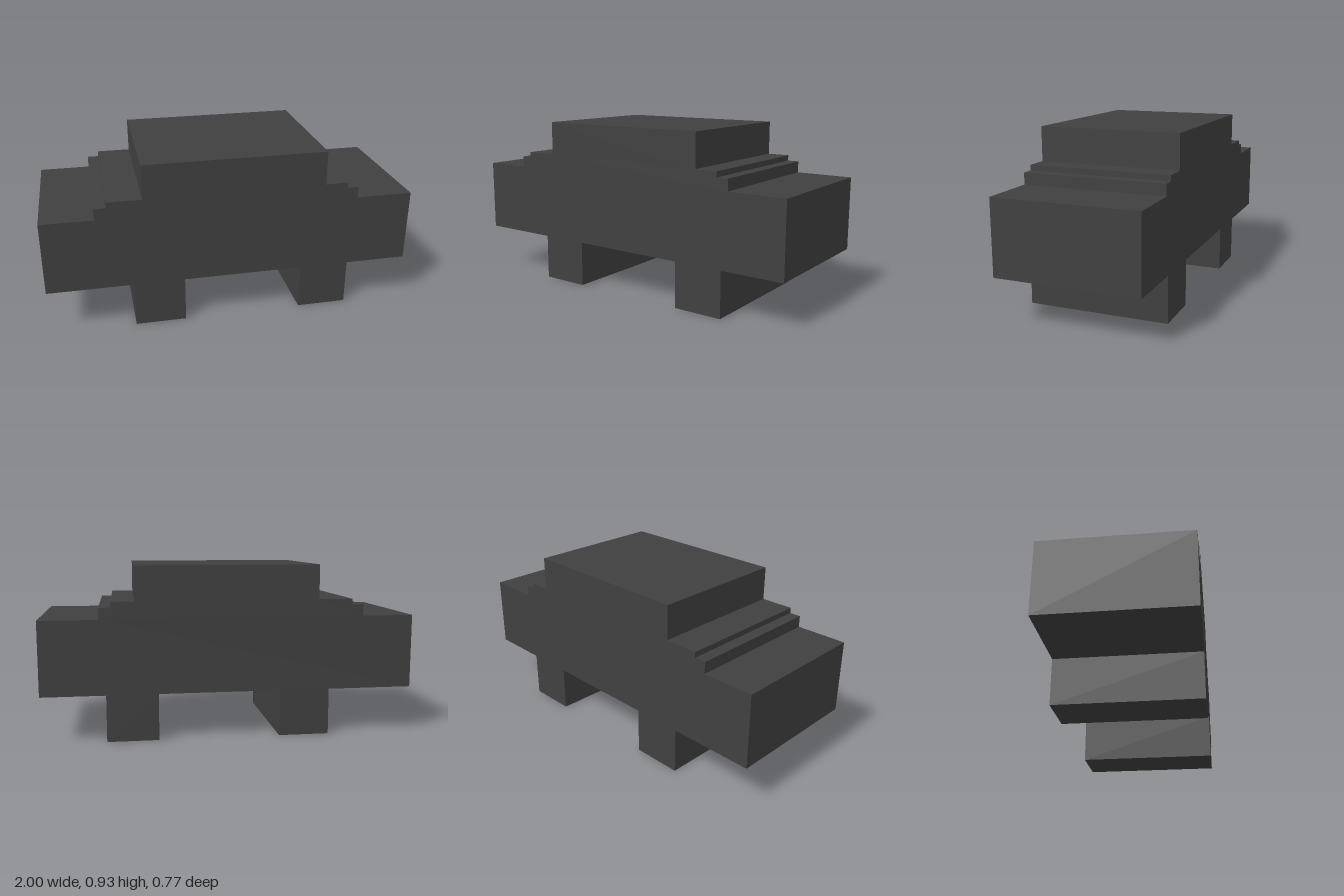
import * as THREE from 'three';

const DEPTH = 0.768;

export function createModel() {
  const model = new THREE.Group();
  model.name = 'blockCar';
  const charcoal = new THREE.MeshStandardMaterial({ color: 0x404040 });
  charcoal.name = 'charcoal';

  // Body: stepped side profile with bonnet, cabin and boot, extruded across the width
  const profile = [
    [-1, 0.25], [1, 0.25], [1, 0.648], [0.69, 0.648], [0.69, 0.71],
    [0.627, 0.71], [0.627, 0.74], [0.504, 0.74], [0.504, 0.925],
    [-0.476, 0.925], [-0.476, 0.74], [-0.66, 0.74], [-0.66, 0.71],
    [-0.722, 0.71], [-0.722, 0.648], [-1, 0.648],
  ].map(([x, y]) => new THREE.Vector2(x, y));
  const bodyGeometry = new THREE.ExtrudeGeometry(new THREE.Shape(profile), {
    depth: DEPTH, bevelEnabled: false,
  });
  bodyGeometry.translate(0, 0, -DEPTH / 2);
  const body = new THREE.Mesh(bodyGeometry, charcoal);
  body.name = 'body';
  model.add(body);

  // Wheel blocks: full-width square supports below the body
  for (const [name, x] of [['rightWheelBlock', -0.402], ['leftWheelBlock', 0.522]]) {
    const block = new THREE.Mesh(new THREE.BoxGeometry(0.274, 0.25, DEPTH), charcoal);
    block.name = name;
    block.position.set(x, 0.125, 0);
    model.add(block);
  }

  return model;
}
